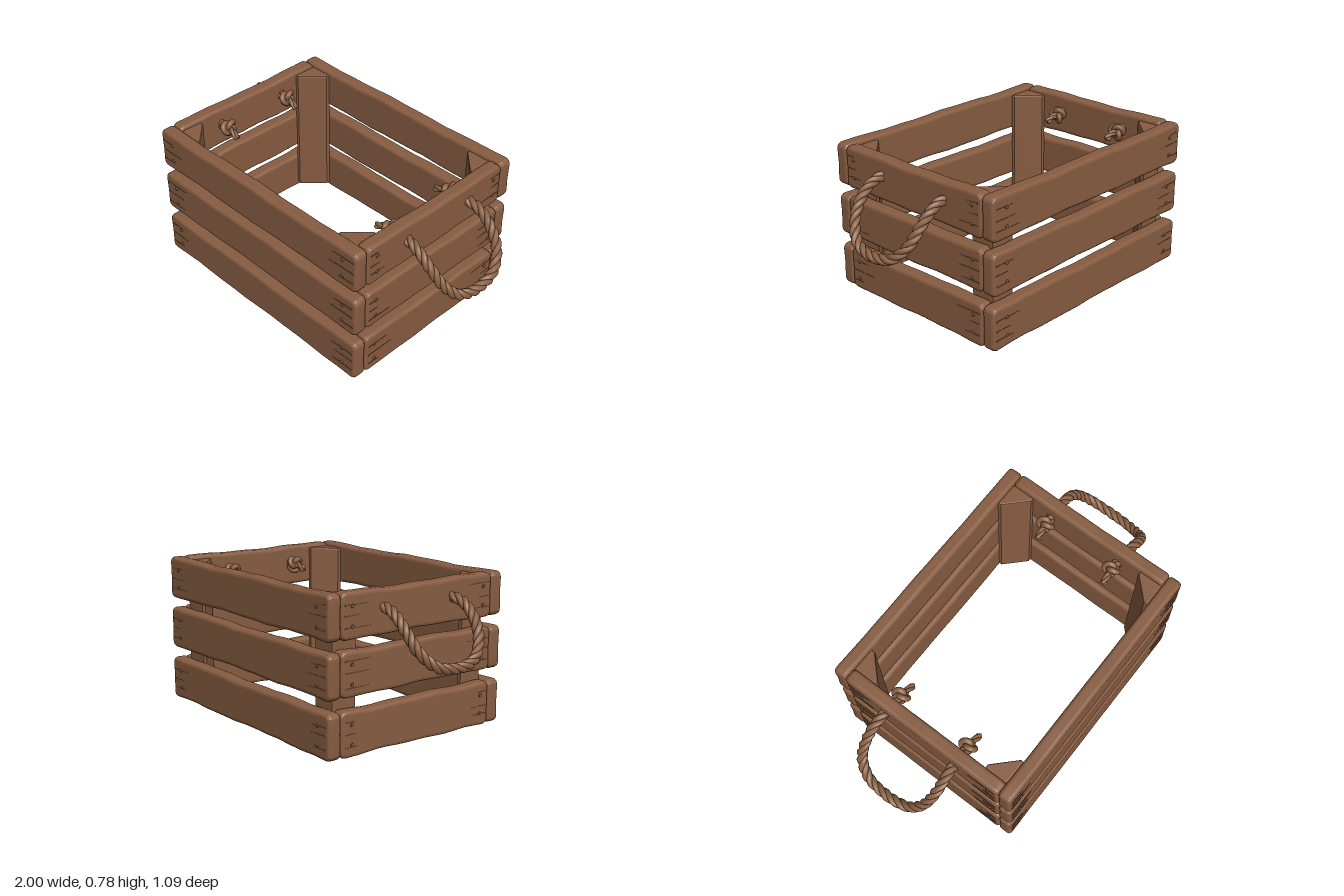
import * as THREE from 'three';
import { toCreasedNormals } from 'three/addons/utils/BufferGeometryUtils.js';

const wood = new THREE.MeshStandardMaterial({ color: 0x875c41 });
wood.name = 'wood';
const crackWood = new THREE.MeshStandardMaterial({ color: 0x6b4831 });
crackWood.name = 'crack wood';
const ropeFibre = new THREE.MeshStandardMaterial({ color: 0x8a6043 });
ropeFibre.name = 'rope fibre';

let seed = 7;
function rand() {
  seed = (seed * 16807) % 2147483647;
  return seed / 2147483647;
}

function addMesh(parent, name, geometry, material, x = 0, y = 0, z = 0) {
  const mesh = new THREE.Mesh(geometry, material);
  mesh.name = name;
  mesh.position.set(x, y, z);
  parent.add(mesh);
  return mesh;
}

// Worn board: wavy long edges, rounded corners and bevelled rims
function boardGeometry(length, height, depth) {
  const bevel = 0.018, round = 0.016;
  const a = length / 2 - bevel, b = height / 2 - bevel;
  const p1 = rand() * 6, p2 = rand() * 6;
  const dip = (x, phase) => {
    const fade = Math.min(1, (a - Math.abs(x)) / 0.15);
    return fade * (0.004 + 0.003 * Math.sin(x * 9 + phase) + 0.002 * Math.sin(x * 23 + phase * 2));
  };
  const shape = new THREE.Shape();
  const steps = 14, flat = a - round;
  shape.moveTo(-flat, -b);
  for (let i = 1; i <= steps; i++) {
    const x = -flat + (2 * flat * i) / steps;
    shape.lineTo(x, -b + (i < steps ? dip(x, p1) : 0));
  }
  shape.quadraticCurveTo(a, -b, a, -b + round);
  shape.lineTo(a - 0.003, 0.01);
  shape.lineTo(a, b - round);
  shape.quadraticCurveTo(a, b, flat, b);
  for (let i = 1; i <= steps; i++) {
    const x = flat - (2 * flat * i) / steps;
    shape.lineTo(x, b - (i < steps ? dip(x, p2) : 0));
  }
  shape.quadraticCurveTo(-a, b, -a, b - round);
  shape.lineTo(-a + 0.003, -0.01);
  shape.lineTo(-a, -b + round);
  shape.quadraticCurveTo(-a, -b, -flat, -b);
  const geometry = new THREE.ExtrudeGeometry(shape, {
    depth: depth - 2 * bevel, bevelSize: bevel, bevelThickness: bevel, bevelSegments: 3, curveSegments: 4,
  });
  geometry.translate(0, 0, -depth / 2 + bevel);
  return toCreasedNormals(geometry, 0.25);
}

// Thin tapered split in the grain
function crackGeometry(length) {
  const h = 0.0035;
  const shape = new THREE.Shape([
    new THREE.Vector2(0, -h), new THREE.Vector2(length * 0.5, -h * 0.6), new THREE.Vector2(length, 0.002),
    new THREE.Vector2(length * 0.4, h * 0.6), new THREE.Vector2(0, h),
  ]);
  return new THREE.ExtrudeGeometry(shape, { depth: 0.002, bevelEnabled: false });
}

// Three stacked boards with nails and splits, outer face towards local +z
function makeWall(name, length, lift) {
  const wall = new THREE.Group();
  wall.name = name;
  const depth = 0.074;
  const rows = [[0, 0.226], [0.283, 0.503], [0.555, 0.778]];
  rows.forEach(([low, high], row) => {
    const y = (low + high) / 2 + (row === 1 ? lift : 0);
    addMesh(wall, 'board' + (row + 1), boardGeometry(length, high - low, depth), wood, 0, y, 0);
    for (const side of [-1, 1]) {
      for (const dy of [-0.047, 0.047]) {
        const nail = addMesh(wall, 'nail', new THREE.CylinderGeometry(0.008, 0.01, 0.006, 8), wood,
          side * (length / 2 - 0.06 * length - 0.005), y + dy, depth / 2 + 0.002);
        nail.rotation.x = Math.PI / 2;
      }
      for (let k = 0; k < 3; k++) {
        const crack = addMesh(wall, 'crack', crackGeometry(0.05 + rand() * 0.11), crackWood,
          side * (length / 2 - 0.02), y + (k - 1) * 0.055 + (rand() - 0.5) * 0.02, depth / 2 - 0.0005);
        if (side > 0) crack.rotation.z = Math.PI;
      }
    }
  });
  return wall;
}

// Triangular corner post with blunted tips
function postGeometry() {
  const pts = [[0, 0], [0.134, 0], [0.134, 0.018], [0.022, 0.128], [0, 0.128]];
  const shape = new THREE.Shape(pts.map(([x, y]) => new THREE.Vector2(x, y)));
  const geometry = new THREE.ExtrudeGeometry(shape, {
    depth: 0.72, bevelSize: 0.008, bevelOffset: -0.008, bevelThickness: 0.008, bevelSegments: 2,
  });
  geometry.rotateX(-Math.PI / 2);
  return toCreasedNormals(geometry, 0.3);
}

// One strand winding round a centre path
class StrandCurve extends THREE.Curve {
  constructor(path, frames, count, turns, phase, offset) {
    super();
    Object.assign(this, { path, frames, count, turns, phase, offset });
  }
  getPoint(t, target = new THREE.Vector3()) {
    const i = Math.min(this.count, Math.round(t * this.count));
    const angle = this.phase + t * this.turns * Math.PI * 2;
    return target.copy(this.path.getPointAt(t))
      .addScaledVector(this.frames.normals[i], Math.cos(angle) * this.offset)
      .addScaledVector(this.frames.binormals[i], Math.sin(angle) * this.offset);
  }
  getPointAt(t, target) {
    return this.getPoint(t, target);
  }
}

function addRope(parent, name, points, radius) {
  const path = new THREE.CatmullRomCurve3(points.map((p) => new THREE.Vector3(...p)));
  const length = path.getLength();
  const count = Math.ceil(length * 130);
  const frames = path.computeFrenetFrames(count, false);
  for (let s = 0; s < 3; s++) {
    const strand = new StrandCurve(path, frames, count, length / 0.15, (s * Math.PI * 2) / 3, radius * 0.48);
    addMesh(parent, name, new THREE.TubeGeometry(strand, count, radius * 0.56, 8, false), ropeFibre);
    for (const t of [0, 1]) {
      const end = strand.getPoint(t);
      addMesh(parent, name + 'End', new THREE.SphereGeometry(radius * 0.56, 8, 6), ropeFibre, end.x, end.y, end.z);
    }
  }
}

// Hanging handle with a knot inside the wall at each end
function makeHandle(name, side, shift) {
  const handle = new THREE.Group();
  handle.name = name;
  const path = [
    [0.58, 0.68, 0.2], [0.72, 0.685, 0.203], [0.79, 0.658, 0.207], [0.86, 0.595, 0.2], [0.915, 0.515, 0.172],
    [0.955, 0.447, 0.11], [0.972, 0.424, 0.03], [0.974, 0.424, -0.06], [0.963, 0.445, -0.14],
    [0.92, 0.515, -0.208], [0.86, 0.598, -0.228], [0.79, 0.66, -0.23], [0.72, 0.685, -0.225], [0.58, 0.68, -0.222],
  ];
  addRope(handle, 'rope', path.map(([x, y, z]) => [side * (x + (x < 0.7 ? shift : 0)), y, z]), 0.027);
  for (const z of [0.195, -0.222]) {
    const x = side * (0.588 + shift);
    const knot = addMesh(handle, 'knot', new THREE.TorusKnotGeometry(0.026, 0.014, 64, 8, 2, 3), ropeFibre, x, 0.68, z);
    knot.rotation.set(0.3, Math.PI / 2, 0.4);
    knot.scale.z = 1.1;
    addRope(handle, 'tail', [[x, 0.68, z], [x - side * 0.04, 0.675, z + 0.006], [x - side * 0.075, 0.66, z + 0.008]], 0.018);
  }
  return handle;
}

export function createModel() {
  const crate = new THREE.Group();
  crate.name = 'crate';

  // Four slatted walls
  const walls = [
    ['frontWall', 1.415, 0.008, 0.503, 0],
    ['backWall', 1.415, 0.008, -0.503, Math.PI],
    ['leftWall', 0.938, 0.678, 0, Math.PI / 2],
    ['rightWall', 0.938, -0.663, 0, -Math.PI / 2],
  ];
  for (const [name, length, x, z, turn] of walls) {
    const wall = makeWall(name, length, turn % Math.PI ? 0.004 : 0);
    wall.position.set(x, 0, z);
    wall.rotation.y = turn;
    crate.add(wall);
  }

  // Corner posts turned into each inside corner; sides differ in leg length only slightly
  const corners = [[-0.628, 0.467, 0], [0.643, 0.467, Math.PI / 2], [0.643, -0.467, Math.PI], [-0.628, -0.467, -Math.PI / 2]];
  for (const [x, z, turn] of corners) {
    addMesh(crate, 'cornerPost', postGeometry(), wood, x, 0.03, z).rotation.y = turn;
  }

  // Rope handles
  crate.add(makeHandle('leftHandle', 1, 0.005), makeHandle('rightHandle', -1, -0.01));
  return crate;
}
